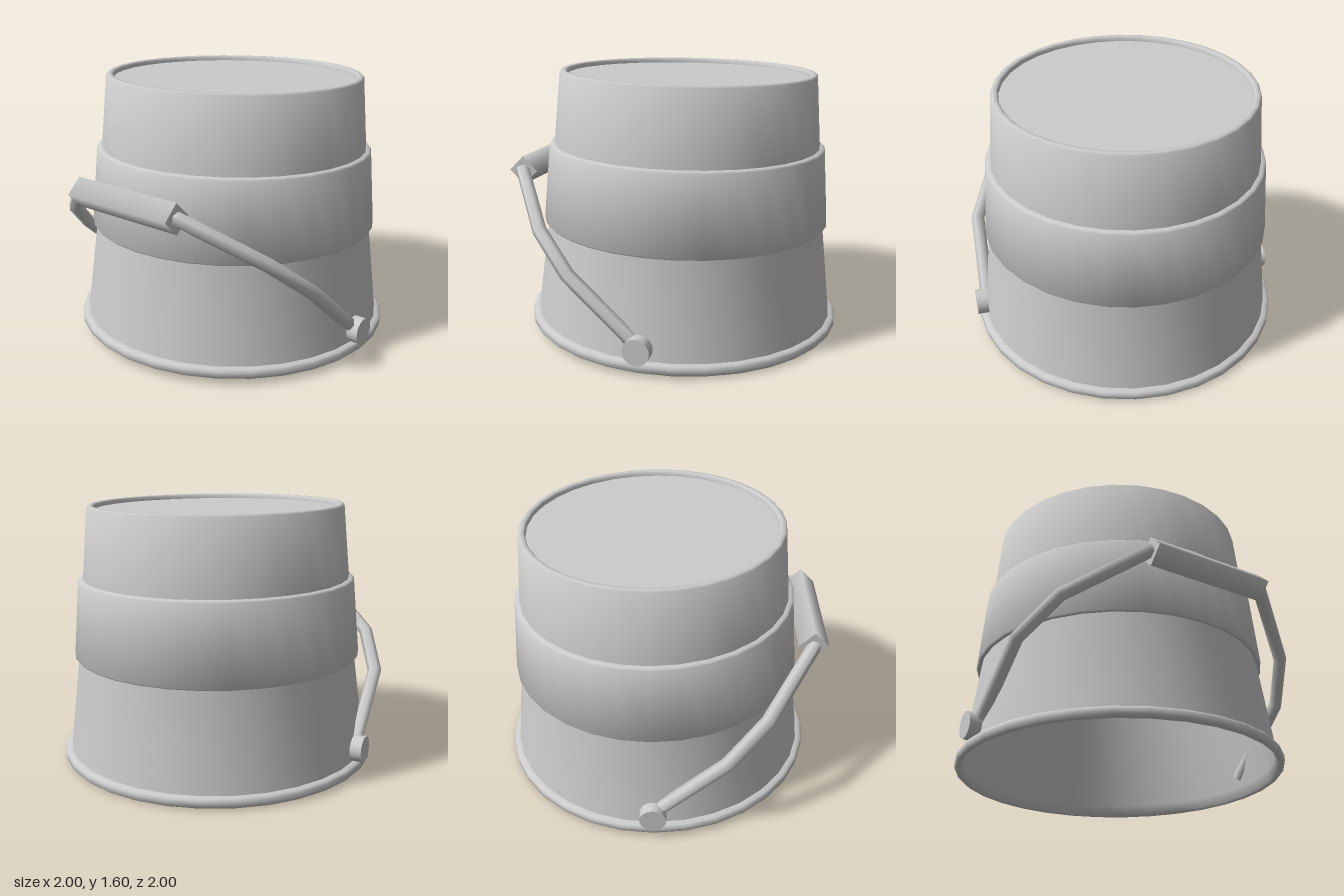
import * as THREE from 'three';
import { toCreasedNormals } from 'three/addons/utils/BufferGeometryUtils.js';

const grey = new THREE.MeshStandardMaterial({ color: 0xcccccc });

function part(name, geometry, parent) {
  const mesh = new THREE.Mesh(geometry, grey);
  mesh.name = name;
  parent.add(mesh);
  return mesh;
}

// Sweep an n-sided section along a flat path in the xy plane, with mitred corners
function mitredTube(path, radius, sides) {
  const positions = [], index = [];
  path.forEach((p, i) => {
    const before = p.clone().sub(path[Math.max(i - 1, 0)]).normalize();
    const after = path[Math.min(i + 1, path.length - 1)].clone().sub(p).normalize();
    const dir = before.clone().add(after).normalize();
    const other = i === 0 ? after : before;
    const stretch = radius / Math.max(dir.dot(other), 0.5);
    for (let k = 0; k < sides; k++) {
      const a = (k / sides) * Math.PI * 2;
      const s = Math.cos(a) * stretch;
      positions.push(p.x - dir.y * s, p.y + dir.x * s, Math.sin(a) * radius);
    }
  });
  for (let i = 0; i < path.length - 1; i++) {
    for (let k = 0; k < sides; k++) {
      const a = i * sides + k, b = i * sides + (k + 1) % sides;
      index.push(a, b, a + sides, b, b + sides, a + sides);
    }
  }
  // End caps
  const last = (path.length - 1) * sides;
  for (let k = 1; k < sides - 1; k++) {
    index.push(0, k + 1, k, last, last + k, last + k + 1);
  }
  const geo = new THREE.BufferGeometry();
  geo.setAttribute('position', new THREE.Float32BufferAttribute(positions, 3));
  geo.setIndex(index);
  return toCreasedNormals(geo, 1.2);
}

export function createModel() {
  const model = new THREE.Group();
  model.name = 'upturnedBucket';

  // Bucket shell: inner ceiling, inner wall, rolled rim, stepped outer wall, recessed base
  const profile = [
    [0, 1.51], [0.74, 1.51], [0.925, 0.07],
    [0.94, 0.01], [0.95, 0], [0.968, 0.002], [0.98, 0.014], [0.98, 0.044], [0.97, 0.058], [0.94, 0.062],
    [0.866, 0.65], [0.886, 0.645], [0.894, 0.655],
    [0.855, 1.115], [0.847, 1.125], [0.824, 1.128],
    [0.786, 1.56], [0.776, 1.57], [0.752, 1.57], [0.744, 1.562],
    [0.742, 1.54], [0, 1.54],
  ].map(([r, y]) => new THREE.Vector2(r, y));
  const shell = part('bucketShell', toCreasedNormals(new THREE.LatheGeometry(profile, 32), 0.9), model);
  shell.position.set(0, 0.02, -0.02);
  shell.rotation.x = -0.019;

  // Pivot pins on both sides
  const pivot = new THREE.Vector3(0, 0.155, -0.02);
  for (const side of [1, -1]) {
    const pin = part(side > 0 ? 'leftPivotPin' : 'rightPivotPin',
      new THREE.CylinderGeometry(0.079, 0.079, 0.07, 20), model);
    pin.rotation.z = Math.PI / 2;
    pin.position.copy(pivot).setX(side * 0.965);
  }

  // Swinging handle, laid out flat and then leaned towards the front
  const handle = new THREE.Group();
  handle.name = 'handle';
  handle.position.copy(pivot);
  const lean = Math.atan2(0.93, 0.825);
  handle.rotation.x = lean;
  model.add(handle);

  const half = [[0.93, 0], [0.91, 0.565], [0.77, 0.866], [0.385, 1.24]];
  const path = [
    ...half.map(([x, y]) => new THREE.Vector2(x, y)),
    ...half.map(([x, y]) => new THREE.Vector2(-x, y)).reverse(),
  ];
  part('handleBar', mitredTube(path, 0.042, 6), handle);

  // Four-sided grip with soft shading
  const grip = part('handleGrip', new THREE.CylinderGeometry(0.09, 0.09, 0.756, 4), handle);
  grip.position.y = 1.243;
  grip.rotation.set(-lean, 0, Math.PI / 2);

  return model;
}
